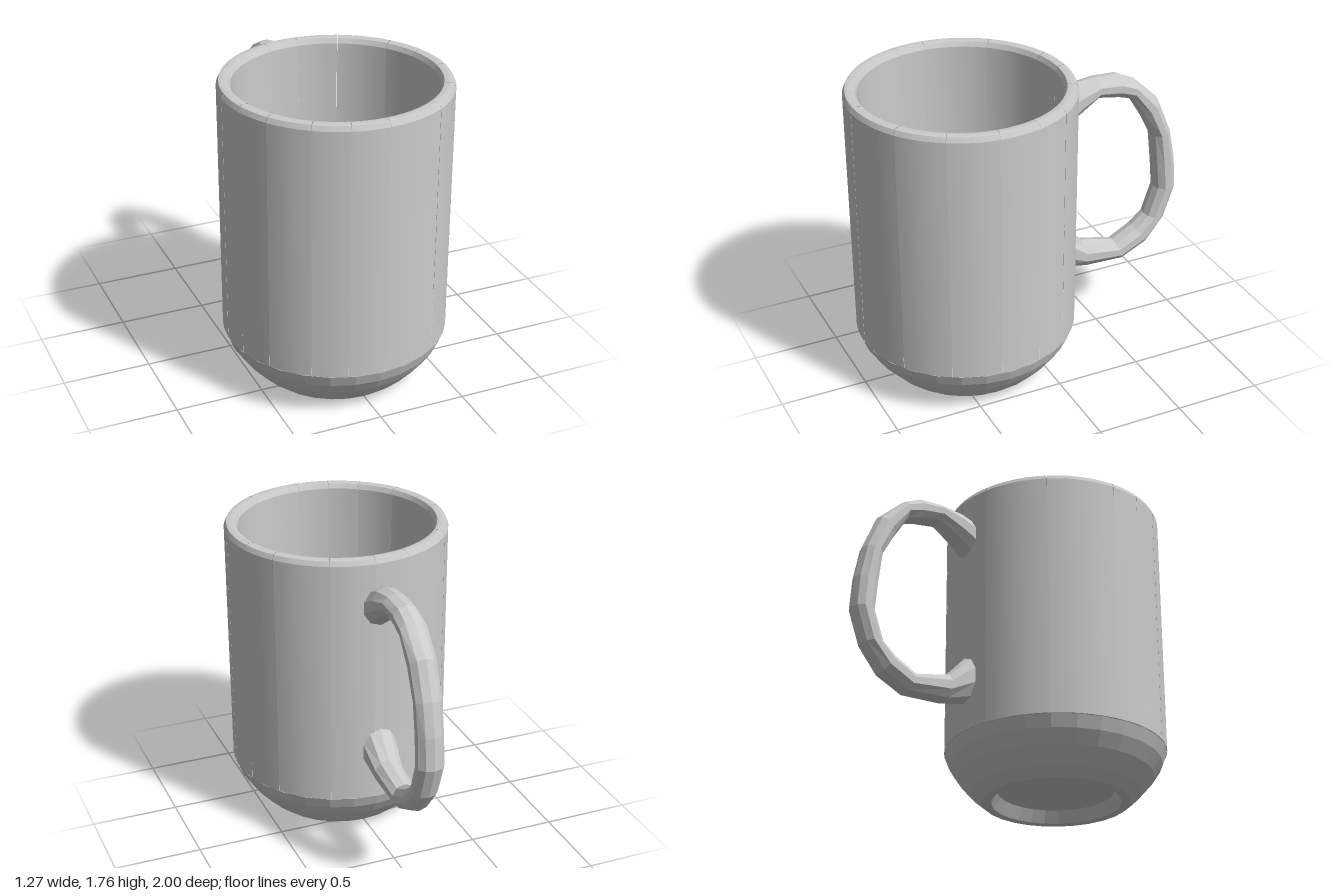
import * as THREE from 'three';
import { toCreasedNormals } from 'three/addons/utils/BufferGeometryUtils.js';

const CUP_Z = 0.365;
const smooth = new THREE.MeshStandardMaterial({ color: 0xcccccc, side: THREE.DoubleSide });
const faceted = new THREE.MeshStandardMaterial({ color: 0xcccccc, side: THREE.DoubleSide, flatShading: true });
const points = (list) => list.map(([r, y]) => new THREE.Vector2(r, y));

function named(name, geometry, material) {
  const mesh = new THREE.Mesh(geometry, material);
  mesh.name = name;
  return mesh;
}

// Upright wall panels separated by hairline seams
function buildWall() {
  const wall = new THREE.Group();
  wall.name = 'wall';
  const profile = points([
    [0.632, 0.288], [0.635, 1.73], [0.622, 1.757], [0.6, 1.762],
    [0.572, 1.757], [0.558, 1.73], [0.55, 0.288], [0.632, 0.288],
  ]);
  const seams = [0.03, 0.59, 1.04, 1.48, 1.86, 2.2, 2.71, 3.11, 3.43, 4.03, 4.67, 4.96, 5.28, 5.67, 5.99];
  const gap = 0.004;
  seams.forEach((start, i) => {
    const end = i + 1 < seams.length ? seams[i + 1] : seams[0] + Math.PI * 2;
    const span = end - start;
    const segments = Math.max(3, Math.round(span / 0.09));
    const geometry = new THREE.LatheGeometry(profile, segments, start + gap / 2, span - gap);
    wall.add(named('wallPanel', toCreasedNormals(geometry, 0.45), smooth));
  });
  return wall;
}

// Rounded base: foot ring, hollow underside, curved shoulder and inner floor
function buildBase() {
  const profile = points([
    [0, 0.07], [0.33, 0.07], [0.365, 0], [0.415, 0], [0.475, 0.05], [0.555, 0.14],
    [0.605, 0.215], [0.632, 0.285], [0.55, 0.285], [0.5, 0.2], [0.38, 0.14], [0, 0.13],
  ]);
  return named('base', new THREE.LatheGeometry(profile, 28), faceted);
}

// Handle swept through sections: outer z, y, inner z, y, half width
function buildHandle() {
  const sections = [
    [-0.25, 1.59, -0.25, 1.35, 0.105],
    [-0.33, 1.62, -0.33, 1.42, 0.092],
    [-0.46, 1.632, -0.46, 1.51, 0.08],
    [-0.6, 1.627, -0.59, 1.485, 0.078],
    [-0.7, 1.58, -0.68, 1.46, 0.08],
    [-0.86, 1.43, -0.755, 1.335, 0.08],
    [-0.945, 1.22, -0.83, 1.19, 0.08],
    [-0.985, 1.03, -0.85, 1.0, 0.078],
    [-0.998, 0.84, -0.865, 0.84, 0.08],
    [-0.93, 0.64, -0.805, 0.67, 0.078],
    [-0.81, 0.49, -0.73, 0.61, 0.08],
    [-0.65, 0.412, -0.6, 0.54, 0.078],
    [-0.4, 0.42, -0.39, 0.59, 0.085],
    [-0.25, 0.45, -0.25, 0.74, 0.105],
  ];
  const sides = 10;
  const position = [];
  const index = [];
  sections.forEach(([oz, oy, iz, iy, w], k) => {
    for (let s = 0; s < sides; s++) {
      const t = (s / sides) * Math.PI * 2;
      const c = Math.cos(t) / 2;
      position.push(
        -0.01 + w * Math.sin(t),
        (oy + iy) / 2 + (oy - iy) * c,
        (oz + iz) / 2 + (oz - iz) * c,
      );
      if (k + 1 < sections.length) {
        const a = k * sides + s;
        const b = k * sides + (s + 1) % sides;
        index.push(a, b, a + sides, b, b + sides, a + sides);
      }
    }
  });
  const geometry = new THREE.BufferGeometry();
  geometry.setAttribute('position', new THREE.Float32BufferAttribute(position, 3));
  geometry.setIndex(index);
  geometry.computeVertexNormals();
  return named('handle', geometry, faceted);
}

export function createModel() {
  const mug = new THREE.Group();
  mug.name = 'mug';
  const cup = new THREE.Group();
  cup.name = 'cup';
  cup.position.z = CUP_Z;
  cup.add(buildWall(), buildBase());
  mug.add(cup, buildHandle());
  return mug;
}
